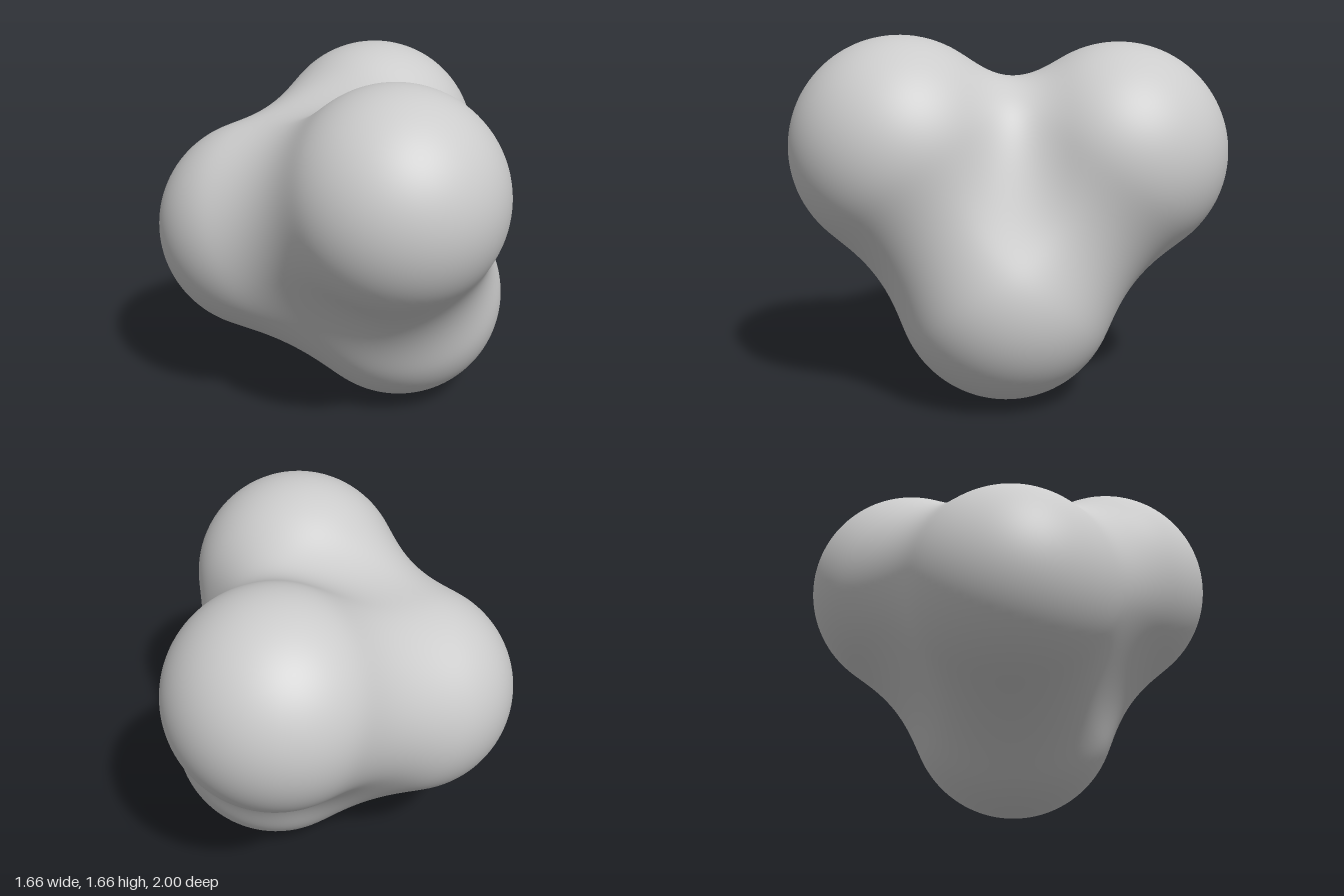
import * as THREE from 'three';
import { mergeVertices } from 'three/addons/utils/BufferGeometryUtils.js';

// Centres of the four merged balls
const balls = [
  new THREE.Vector3(0.265, 1.16, 0.495), // upper front
  new THREE.Vector3(0.215, 1.125, -0.497), // upper back
  new THREE.Vector3(-0.33, 0.86, 0.01), // side
  new THREE.Vector3(0.32, 0.503, 0.02), // lower
];
const REACH = 0.875; // distance at which a ball's influence ends
const LEVEL = 0.3; // field strength at the surface

// Soft field: the sum of each ball's falloff
function field(p) {
  let sum = 0;
  for (const c of balls) {
    const t = 1 - p.distanceToSquared(c) / (REACH * REACH);
    if (t > 0) sum += t * t * t;
  }
  return sum;
}

// Distance from the core to the surface along a direction
function surfaceDistance(core, dir) {
  const p = new THREE.Vector3();
  const inside = (r) => field(p.copy(core).addScaledVector(dir, r)) > LEVEL;
  let hi = 0.02;
  while (inside(hi) && hi < 2) hi += 0.02;
  let lo = hi - 0.02;
  for (let i = 0; i < 14; i++) {
    const mid = (lo + hi) / 2;
    if (inside(mid)) lo = mid;
    else hi = mid;
  }
  return lo;
}

export function createModel() {
  const group = new THREE.Group();
  group.name = 'mergedBalls';

  const core = new THREE.Vector3();
  balls.forEach((c) => core.addScaledVector(c, 1 / balls.length));

  // A fine sphere around the core, pushed out to the soft surface
  let geo = new THREE.IcosahedronGeometry(1, 36);
  geo.deleteAttribute('normal');
  geo.deleteAttribute('uv');
  geo = mergeVertices(geo, 1e-4);
  const pos = geo.attributes.position;
  const dir = new THREE.Vector3();
  for (let i = 0; i < pos.count; i++) {
    dir.fromBufferAttribute(pos, i).normalize();
    const r = surfaceDistance(core, dir);
    dir.multiplyScalar(r).add(core);
    pos.setXYZ(i, dir.x, dir.y, dir.z);
  }
  geo.computeVertexNormals();

  const blob = new THREE.Mesh(geo, new THREE.MeshStandardMaterial({ color: 0xcccccc }));
  blob.name = 'blob';
  group.add(blob);
  return group;
}
